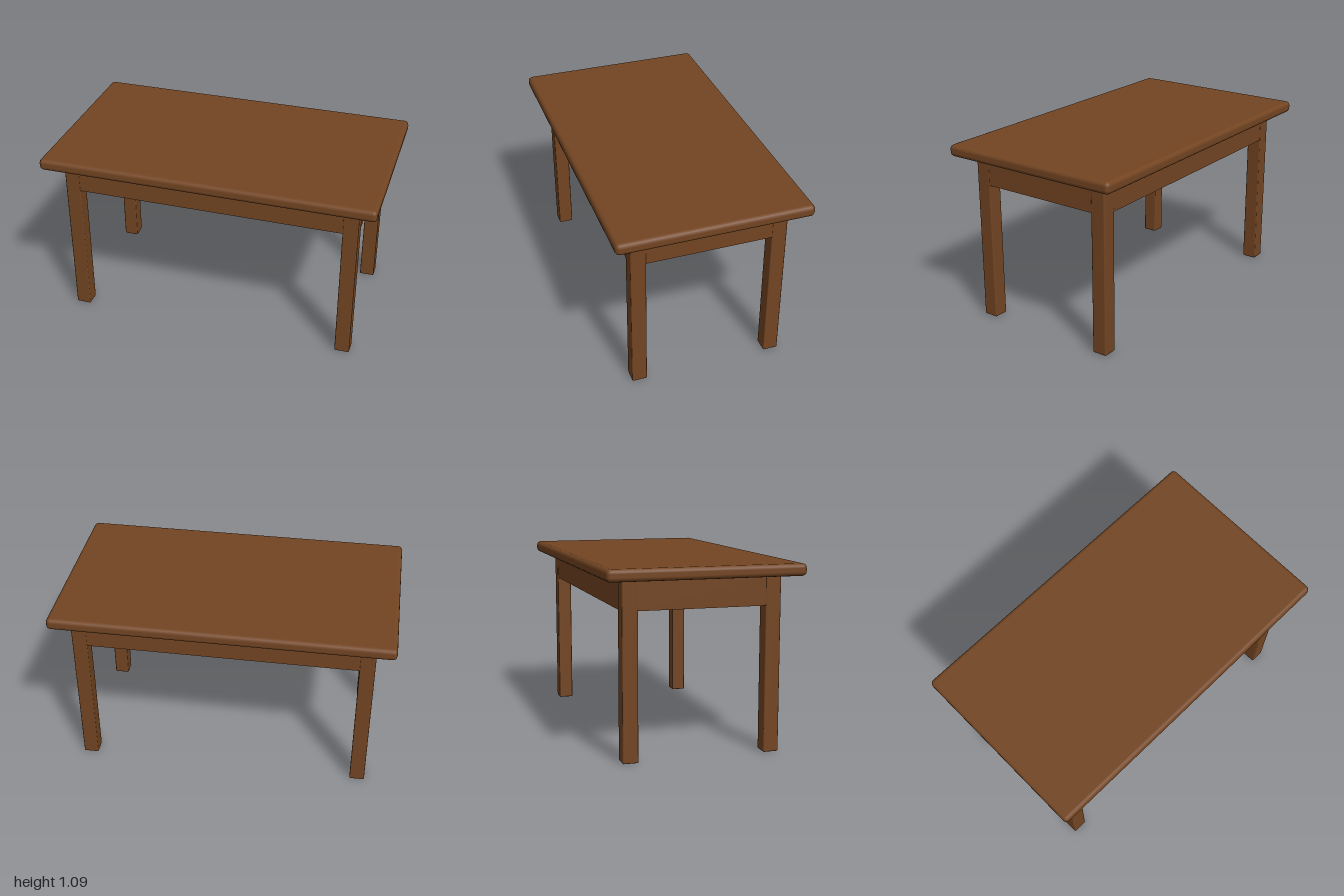
import * as THREE from 'three';
import { RoundedBoxGeometry } from 'three/addons/geometries/RoundedBoxGeometry.js';

export function createModel() {
  const table = new THREE.Group();
  table.name = 'table';
  const wood = new THREE.MeshStandardMaterial({ color: 0x734522 });
  wood.name = 'brown wood';

  const add = (name, geometry, x, y, z) => {
    const mesh = new THREE.Mesh(geometry, wood);
    mesh.name = name;
    mesh.position.set(x, y, z);
    table.add(mesh);
  };

  const legW = 0.09, legH = 1.015;
  const legX = 0.845, legZ = 0.415;
  const apronH = 0.17, apronY = legH - apronH / 2;

  // Top with softened edges
  add('tabletop', new RoundedBoxGeometry(2, 0.07, 1.14, 2, 0.025), 0, 1.05, 0);

  // Four square legs with slightly eased edges
  const leg = new RoundedBoxGeometry(legW, legH, legW, 2, 0.007);
  for (const sx of [-1, 1]) {
    for (const sz of [-1, 1]) {
      add(`${sz > 0 ? 'front' : 'back'}${sx > 0 ? 'Left' : 'Right'}Leg`, leg, sx * legX, legH / 2, sz * legZ);
    }
  }

  // Aprons between the legs, just inside the leg faces
  const t = legW - 0.004;
  const longApron = new THREE.BoxGeometry(2 * legX - legW + 0.01, apronH, t);
  const shortApron = new THREE.BoxGeometry(t, apronH, 2 * legZ - legW + 0.01);
  for (const s of [-1, 1]) {
    add(s > 0 ? 'frontApron' : 'backApron', longApron, 0, apronY, s * legZ);
    add(s > 0 ? 'leftApron' : 'rightApron', shortApron, s * legX, apronY, 0);
  }
  return table;
}
